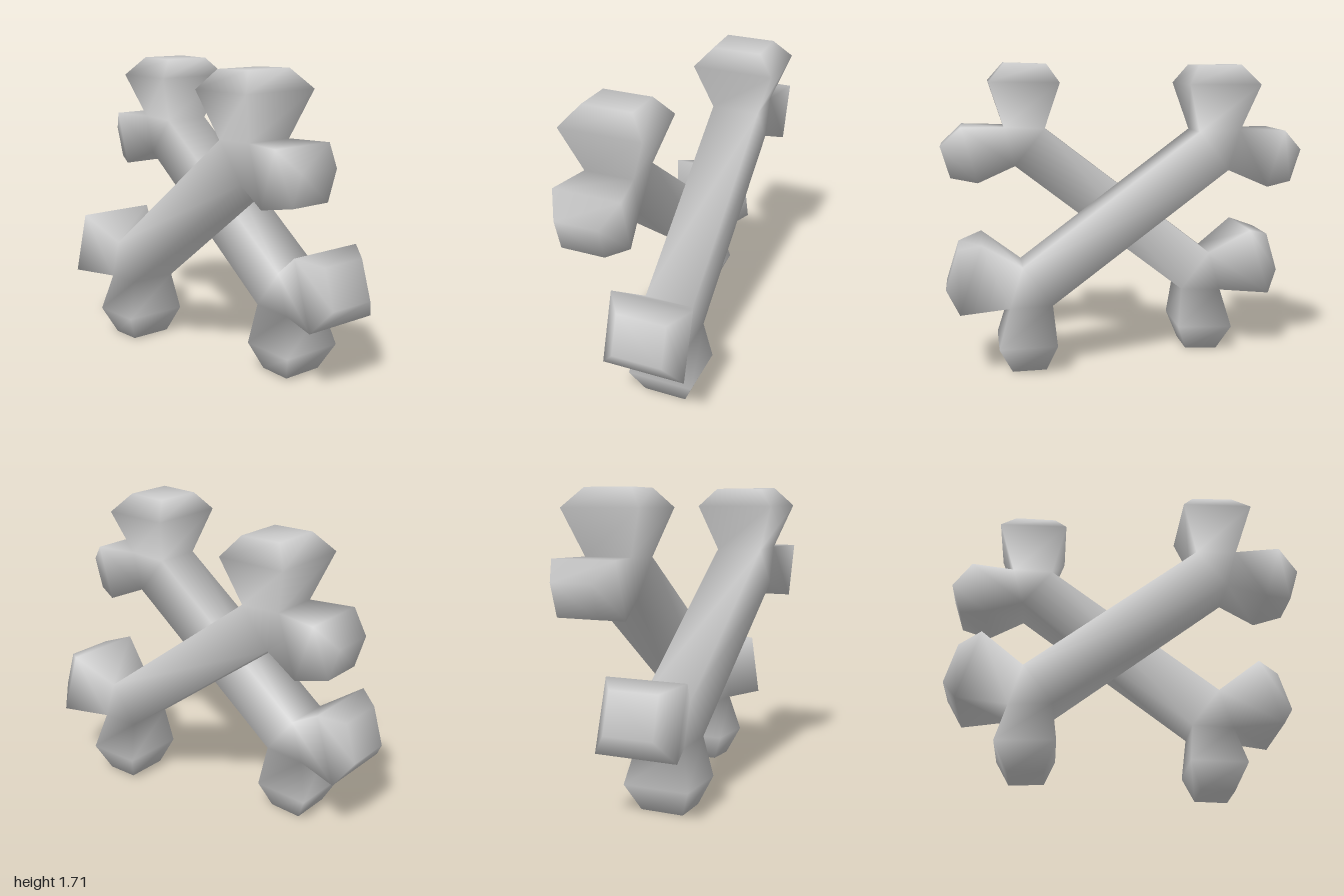
import * as THREE from 'three';

// Half depths (z) of the shaft and of the knob rings
const SHAFT = 0.138, MID_Y = 0.855;

// A section spans two outline points (left and right of the growth direction)
const section = (left, right, depth = SHAFT) => ({ left, right, depth });

function createBoneGeometry() {
  const positions = [], index = [], known = new Map();

  // Shared vertices keep the whole bone smoothly shaded
  const vertex = ([x, y], z) => {
    const key = `${x},${y},${z}`;
    if (!known.has(key)) {
      known.set(key, positions.length / 3);
      positions.push(x, y - MID_Y, z);
    }
    return known.get(key);
  };
  const ring = ({ left, right, depth }) => [
    vertex(left, depth), vertex(right, depth), vertex(right, -depth), vertex(left, -depth),
  ];
  const quad = (a, b, c, d) => index.push(a, b, c, a, c, d);

  const loft = (sections, capped) => {
    const rings = sections.map(ring);
    for (let s = 0; s + 1 < rings.length; s++) {
      for (let i = 0; i < 4; i++) {
        const j = (i + 1) % 4;
        quad(rings[s][i], rings[s][j], rings[s + 1][j], rings[s + 1][i]);
      }
    }
    if (capped) quad(...rings[rings.length - 1]);
  };
  // Flat wedge between shaft and the two knobs, front and back
  const wedge = (a, b, c) => {
    index.push(vertex(a, SHAFT), vertex(b, SHAFT), vertex(c, SHAFT));
    index.push(vertex(a, -SHAFT), vertex(c, -SHAFT), vertex(b, -SHAFT));
  };

  // Corners where the shaft meets the knobs
  const upA = [0.41, 1.34], upB = [0.58, 1.13], upNotch = [0.64, 1.35];
  const lowA = [-0.555, 0.595], lowB = [-0.39, 0.38], lowNotch = [-0.625, 0.367];

  // Shaft
  loft([section(lowA, lowB), section(upA, upB)], false);
  wedge(upA, upB, upNotch);
  wedge(lowA, lowNotch, lowB);

  // Upper end: large top knob, small side knob
  loft([section(upA, upNotch), section([0.33, 1.6], [0.722, 1.605], 0.232),
    section([0.397, 1.703], [0.632, 1.71], 0.14)], true);
  loft([section(upNotch, upB), section([0.88, 1.354], [0.79, 1.043], 0.187),
    section([0.997, 1.245], [0.943, 1.066], 0.12)], true);

  // Lower end: large side knob, small bottom knob
  loft([section(lowNotch, lowA), section([-0.893, 0.362], [-0.777, 0.74], 0.232),
    section([-0.97, 0.48], [-0.905, 0.7], 0.14)], true);
  loft([section(lowB, lowNotch), section([-0.365, 0.16], [-0.685, 0.15], 0.187),
    section([-0.422, 0.01], [-0.61, 0.003], 0.122)], true);

  const geometry = new THREE.BufferGeometry();
  geometry.setAttribute('position', new THREE.Float32BufferAttribute(positions, 3));
  geometry.setIndex(index);
  geometry.computeVertexNormals();
  return geometry;
}

export function createModel() {
  const group = new THREE.Group();
  group.name = 'crossedBones';
  const geometry = createBoneGeometry();
  const material = new THREE.MeshStandardMaterial({ color: 0xcccccc });

  const frontBone = new THREE.Mesh(geometry, material);
  frontBone.name = 'frontBone';
  frontBone.position.set(0, MID_Y, 0.142);

  // Same bone turned half way round, with a slight tilt
  const backBone = new THREE.Mesh(geometry, material);
  backBone.name = 'backBone';
  backBone.position.set(0, MID_Y, -0.147);
  backBone.rotation.set(0, Math.PI, -0.016);

  group.add(frontBone, backBone);
  return group;
}
